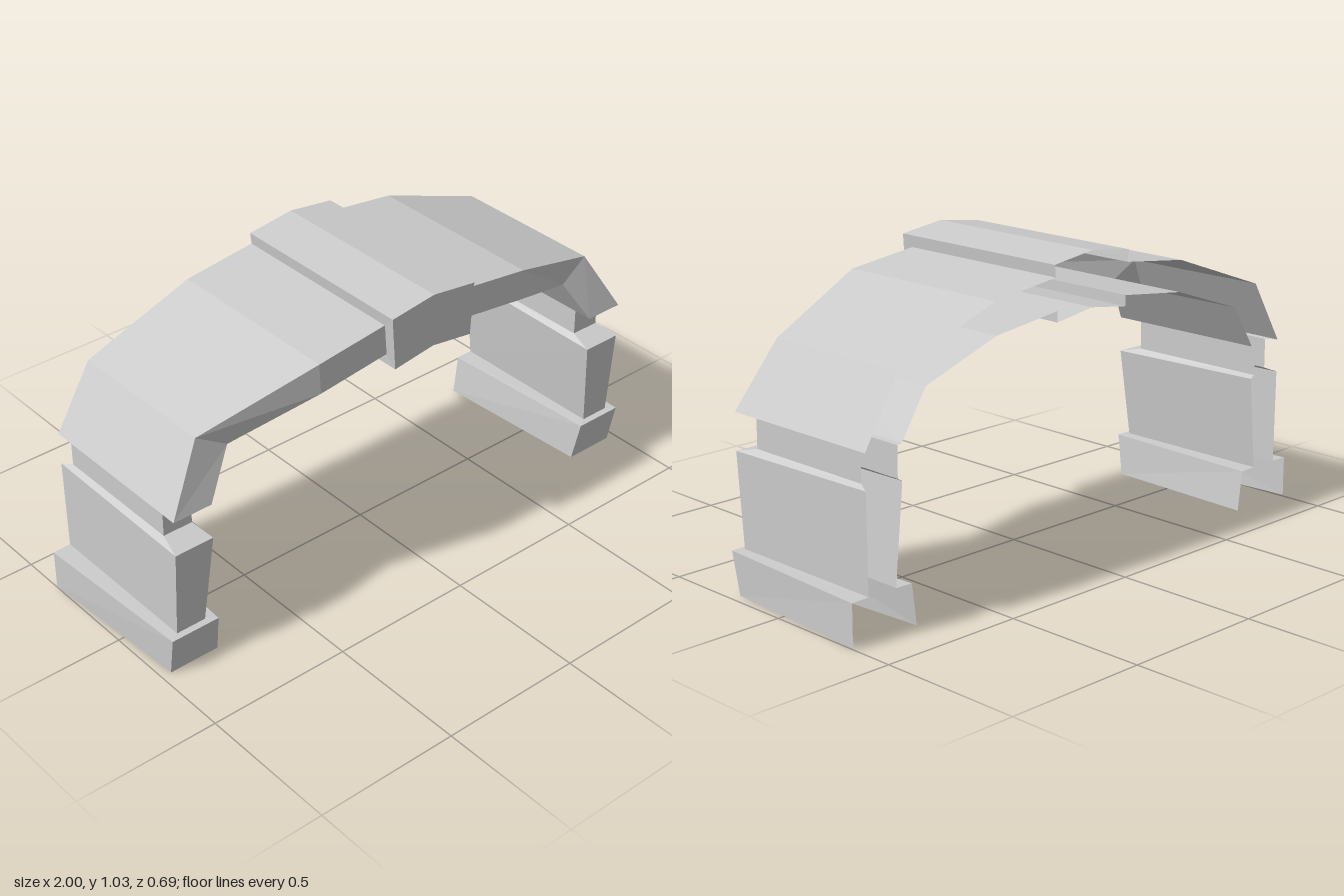
import * as THREE from 'three';

const BACK = -0.345;
const material = new THREE.MeshStandardMaterial({ color: 0xcccccc, flatShading: true, side: THREE.DoubleSide });

// U-shaped section of a pier, open to the back: inner back, inner front, outer front, outer back
function pierSection(y, innerX, outerX, frontZ, { innerBack = innerX, outerBack = outerX, outerBackZ = BACK, backY = y } = {}) {
  return [[innerBack, backY, BACK], [innerX, y, frontZ], [outerX, y, frontZ], [outerBack, y === backY ? y : backY, outerBackZ]];
}

// The same U section turned to follow the arch
function archSection(inner, outer, innerZ, outerZ = innerZ) {
  return [[...inner, BACK], [...inner, innerZ], [...outer, outerZ], [...outer, BACK]];
}

// Skin the sections in order; side = -1 mirrors across x
function loft(name, sections, side) {
  const positions = [];
  for (let i = 0; i < sections.length - 1; i++) {
    const a = sections[i], b = sections[i + 1];
    for (let j = 0; j < 3; j++) {
      const quad = [a[j], a[j + 1], b[j + 1], b[j]];
      if (side < 0) quad.reverse();
      for (const k of [0, 1, 2, 0, 2, 3]) positions.push(quad[k][0] * side, quad[k][1], quad[k][2]);
    }
  }
  const geometry = new THREE.BufferGeometry();
  geometry.setAttribute('position', new THREE.Float32BufferAttribute(positions, 3));
  geometry.computeVertexNormals();
  const mesh = new THREE.Mesh(geometry, material);
  mesh.name = name;
  return mesh;
}

export function createModel() {
  const group = new THREE.Group();
  group.name = 'archway';

  // Pier levels from the ground up
  const baseBottom = pierSection(0, 0.785, 0.965, 0.23, { innerBack: 0.75, outerBack: 1.0, backY: 0.005 });
  const baseTop = pierSection(0.143, 0.795, 0.97, 0.257, { innerBack: 0.768, outerBack: 1.0 });
  const shaftBottom = pierSection(0.145, 0.83, 0.937, 0.235);
  const shaftTop = pierSection(0.458, 0.80, 0.94, 0.257, { backY: 0.468 });
  const neckBottom = pierSection(0.478, 0.817, 0.922, 0.175, { outerBackZ: -0.305 });
  const neckTop = pierSection(0.58, 0.817, 0.922, 0.175, { outerBackZ: -0.305 });

  // Arch stations from the springing to the crown
  const spring = archSection([0.80, 0.582], [0.94, 0.582], 0.257);
  const haunch = archSection([0.703, 0.735], [0.81, 0.80], 0.215, 0.205);
  const shoulder = archSection([0.415, 0.834], [0.42, 0.94], 0.305);
  const archEnd = archSection([0.155, 0.866], [0.163, 0.972], 0.305);
  const keySide = archSection([0.155, 0.83], [0.167, 1.012], 0.345);
  const keyCentre = archSection([0, 0.852], [0, 1.034], 0.345);

  for (const side of [1, -1]) {
    const half = new THREE.Group();
    half.name = side > 0 ? 'leftHalf' : 'rightHalf';
    half.add(
      loft('pierBase', [baseBottom, baseTop, shaftBottom], side),
      loft('pierShaft', [shaftBottom, shaftTop, neckBottom], side),
      loft('pierNeck', [neckBottom, neckTop], side),
      loft('archBand', [neckTop, spring, haunch, shoulder, archEnd], side),
      loft('keystone', [archEnd, keySide, keyCentre], side),
    );
    group.add(half);
  }
  return group;
}
